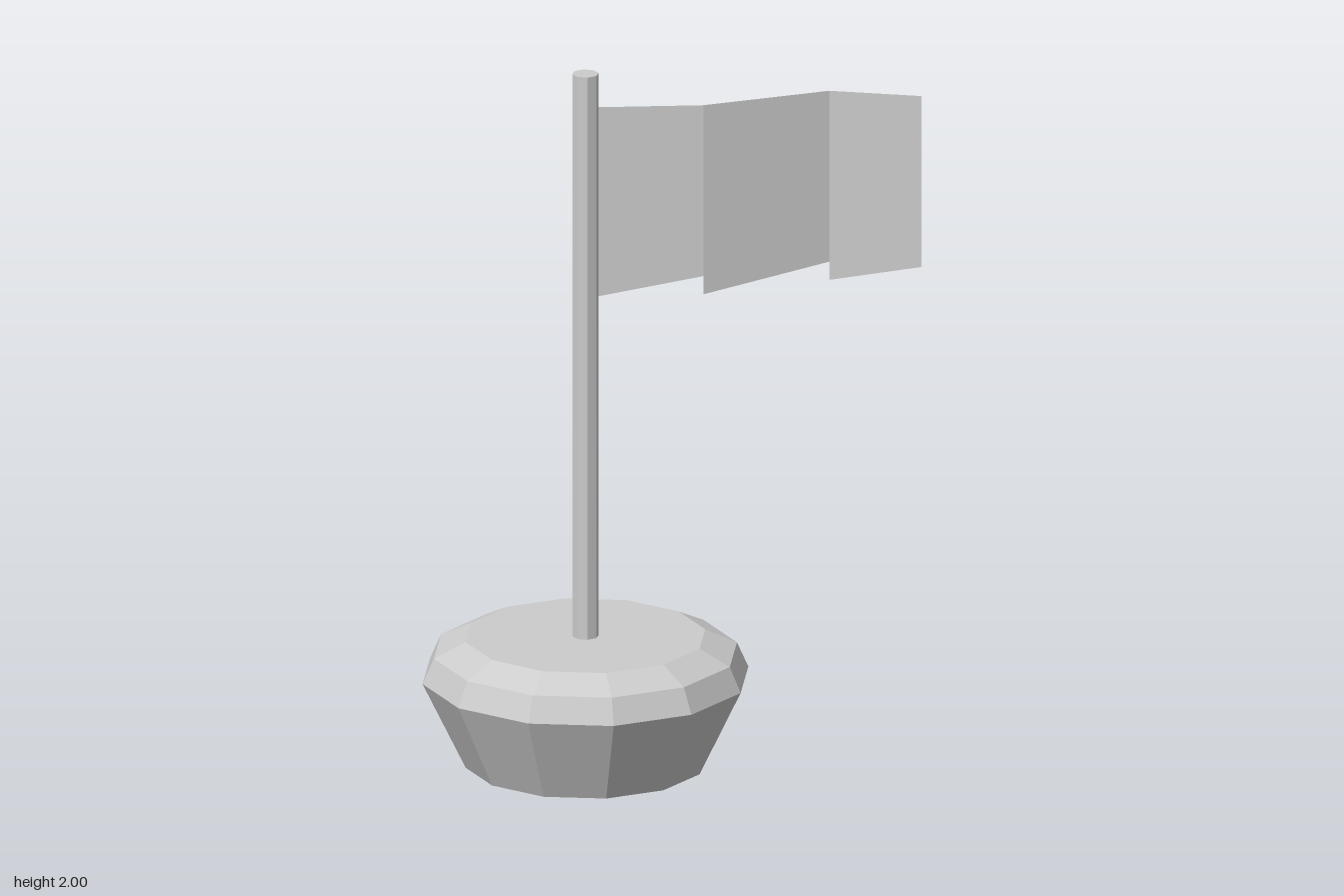
import * as THREE from 'three';

const AXIS_X = -0.24; // pole and base share this axis

export function createModel() {
  const model = new THREE.Group();
  const grey = new THREE.MeshStandardMaterial({ color: 0xcccccc });
  grey.name = 'light grey';
  grey.flatShading = true;
  grey.side = THREE.DoubleSide;

  const add = (name, geometry, x = 0, y = 0) => {
    const mesh = new THREE.Mesh(geometry, grey);
    mesh.name = name;
    mesh.position.set(x, y, 0);
    model.add(mesh);
  };

  // Faceted base: flared bowl with a bevelled rim and flat caps
  const profile = [[0, 0], [0.336, 0], [0.457, 0.25], [0.425, 0.322], [0.336, 0.365], [0, 0.365]];
  add('base', new THREE.LatheGeometry(profile.map(([r, y]) => new THREE.Vector2(r, y)), 12), AXIS_X);

  // Pole
  const bottom = 0.36, top = 2;
  add('pole', new THREE.CylinderGeometry(0.037, 0.037, top - bottom, 8), AXIS_X, (top + bottom) / 2);

  // Flag: three folded panels, each with a slanted lower edge
  const folds = [[-0.205, 0], [0.085, 0.032], [0.45, -0.035], [0.693, 0.055]];
  for (let i = 0; i < 3; i++) {
    const [x0, z0] = folds[i], [x1, z1] = folds[i + 1];
    const panel = new THREE.BufferGeometry();
    panel.setAttribute('position', new THREE.Float32BufferAttribute(
      [x0, 1.35, z0, x1, 1.403, z1, x1, 1.9, z1, x0, 1.9, z0], 3));
    panel.setIndex([0, 1, 2, 0, 2, 3]);
    panel.computeVertexNormals();
    add('flagPanel' + (i + 1), panel);
  }
  return model;
}
